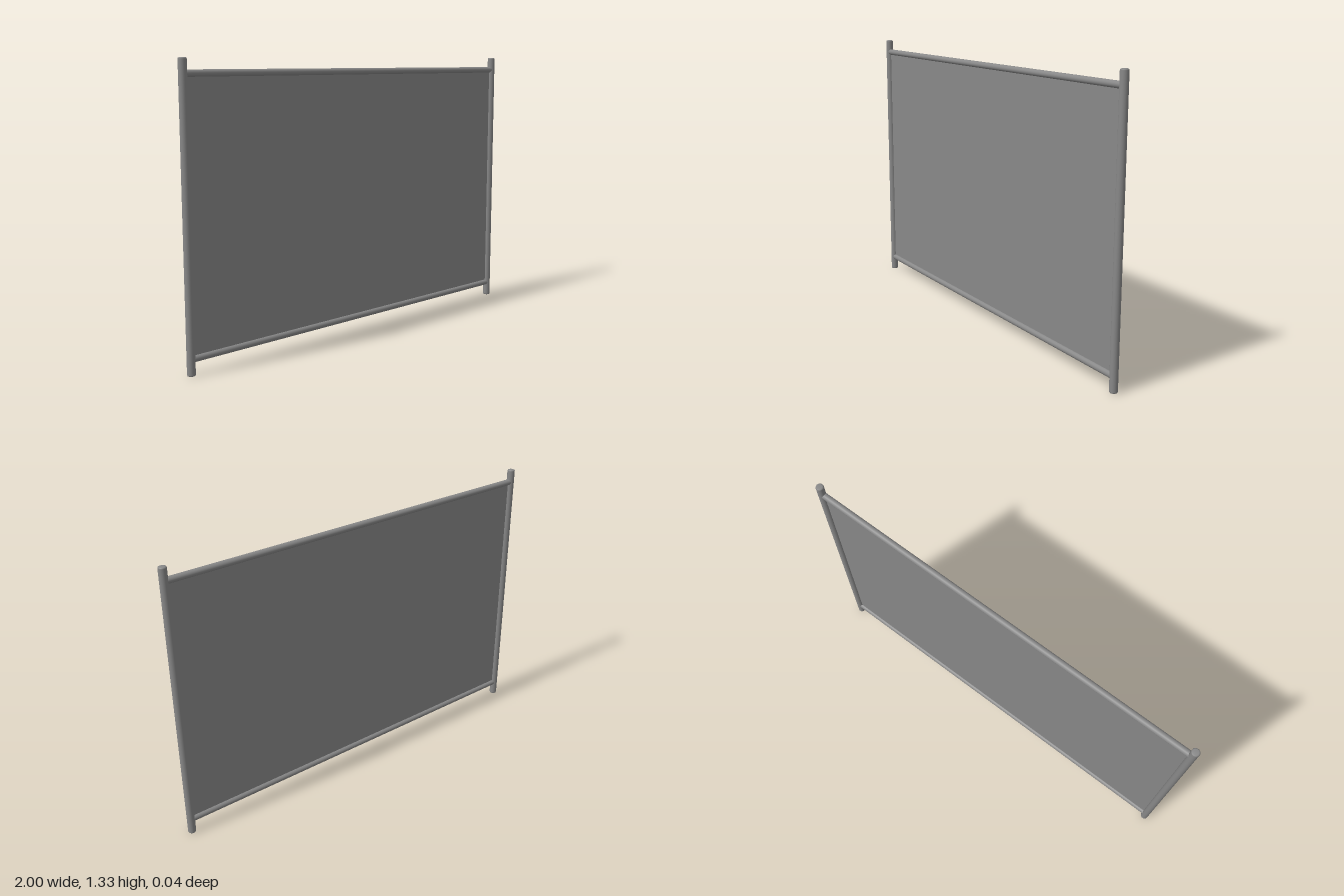
import * as THREE from 'three';

const HEIGHT = 1.327, POST_R = 0.0185, POST_X = 1 - POST_R, RAIL_R = 0.015;
const RAIL_Y = { bottomRail: 0.072, topRail: 1.263 };

export function createModel() {
  const group = new THREE.Group();
  const material = new THREE.MeshStandardMaterial({ color: 0x888888 });
  const add = (name, geometry, x, y) => {
    const mesh = new THREE.Mesh(geometry, material);
    mesh.name = name;
    mesh.position.set(x, y, 0);
    group.add(mesh);
  };

  // upright posts with slightly rounded ends
  const b = 0.006;
  const profile = [
    [0, 0], [POST_R - b, 0], [POST_R - b * 0.3, b * 0.3], [POST_R, b],
    [POST_R, HEIGHT - b], [POST_R - b * 0.3, HEIGHT - b * 0.3], [POST_R - b, HEIGHT], [0, HEIGHT],
  ].map(([r, y]) => new THREE.Vector2(r, y));
  const post = new THREE.LatheGeometry(profile, 24);
  add('leftPost', post, POST_X, 0);
  add('rightPost', post, -POST_X, 0);

  // horizontal rails running between the posts
  const rail = new THREE.CylinderGeometry(RAIL_R, RAIL_R, 2 * POST_X, 24).rotateZ(Math.PI / 2);
  for (const [name, y] of Object.entries(RAIL_Y)) add(name, rail, 0, y);

  // thin flat panel filling the frame
  const { bottomRail, topRail } = RAIL_Y;
  add('panel', new THREE.BoxGeometry(2 * POST_X, topRail - bottomRail, 0.004), 0, (topRail + bottomRail) / 2);

  return group;
}
